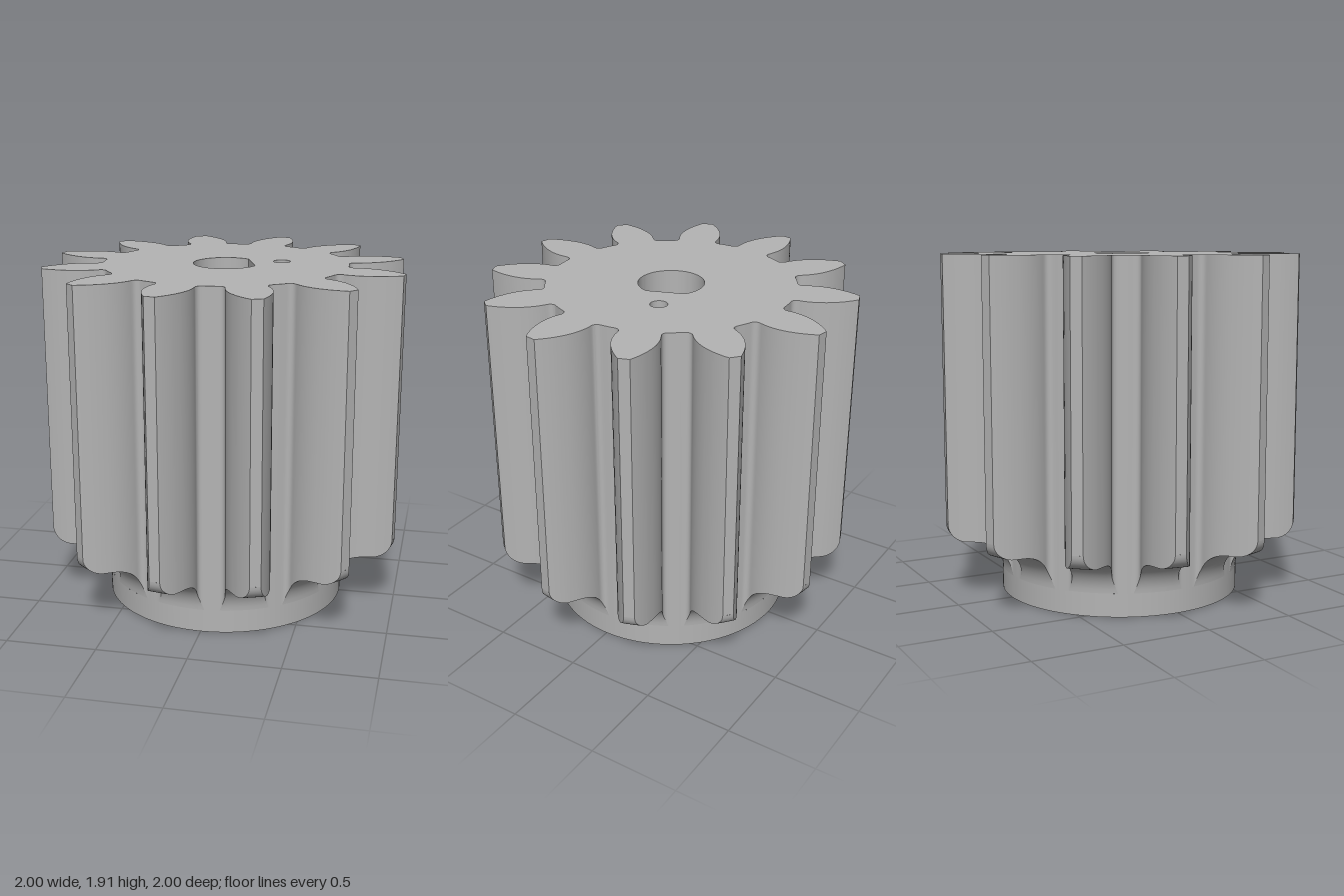
import * as THREE from 'three';
import { toCreasedNormals } from 'three/addons/utils/BufferGeometryUtils.js';

const TEETH = 12, PITCH = (Math.PI * 2) / TEETH;
const HEIGHT = 1.915, ROOT = 0.68, TIP = 1.01, NECK = 0.13;
const AXIS = THREE.MathUtils.degToRad(20.3); // direction of a tooth and of the shaft flat

// polar point; plan angles run counter-clockwise seen from above
const polar = (r, a, y) => new THREE.Vector3(r * Math.cos(a), y, -r * Math.sin(a));

// half angle of a tooth at radius r: bulged flank with a fillet at the root
function halfAngle(r) {
  const fillet = 0.035, d = Math.max(0, fillet - (r - ROOT));
  let w = 0.117 - 1.645 * (r - 0.78) ** 2;
  w += fillet - Math.sqrt(fillet * fillet - d * d);
  return Math.asin(w / r);
}

// lower edge of the teeth: hollow curve, short flat, rounded corner
function lowerProfile() {
  const rows = [];
  for (let i = 0; i <= 14; i++) {
    const t = (i / 14) * Math.PI / 2;
    rows.push({ r: 0.88 - 0.2 * Math.cos(t), y: NECK + 0.2 * Math.sin(t) });
  }
  for (let i = 0; i <= 10; i++) {
    const t = (i / 10) * Math.PI / 2;
    rows.push({ r: 0.92 + 0.09 * Math.sin(t), y: 0.42 - 0.09 * Math.cos(t) });
  }
  rows[0].r = ROOT;
  rows[rows.length - 1].r = TIP;
  return rows;
}

// surface through rows of points; right along a row, up from row to row
function gridGeometry(rows) {
  const pos = [];
  for (let j = 0; j < rows.length - 1; j++) {
    for (let k = 0; k < rows[j].length - 1; k++) {
      const a = rows[j][k], b = rows[j][k + 1], c = rows[j + 1][k + 1], d = rows[j + 1][k];
      for (const p of [a, b, c, a, c, d]) pos.push(p.x, p.y, p.z);
    }
  }
  const g = new THREE.BufferGeometry();
  g.setAttribute('position', new THREE.Float32BufferAttribute(pos, 3));
  return toCreasedNormals(g, 0.5);
}

// flat plate at height y, facing up or down
function faceGeometry(shape, y, down = false) {
  const g = new THREE.ShapeGeometry(shape, 32);
  if (down) {
    const ids = Array.from(g.index.array);
    for (let i = 0; i < ids.length; i += 3) [ids[i], ids[i + 1]] = [ids[i + 1], ids[i]];
    g.setIndex(ids);
  }
  g.rotateX(-Math.PI / 2).translate(0, y, 0);
  g.computeVertexNormals();
  return g;
}

// inward-facing wall of a hole between two heights
function holeWall(shape, y0, y1) {
  const pts = shape.getPoints(32);
  if (!pts[0].equals(pts[pts.length - 1])) pts.push(pts[0].clone());
  if (THREE.ShapeUtils.area(pts) > 0) pts.reverse();
  return gridGeometry([y0, y1].map((y) => pts.map((p) => new THREE.Vector3(p.x, y, -p.y))));
}

function circle(r, x = 0, y = 0) {
  const s = new THREE.Shape();
  s.absarc(x, y, r, 0, Math.PI * 2, false);
  return s;
}

export function createModel() {
  const group = new THREE.Group();
  const grey = new THREE.MeshStandardMaterial({ color: 0xb4b4b4 });
  grey.name = 'grey';
  const add = (name, geometry) => {
    const mesh = new THREE.Mesh(geometry, grey);
    mesh.name = name;
    group.add(mesh);
  };

  // gear outline, with the height where each wall begins
  const profile = lowerProfile();
  const outline = [];
  for (let i = 0; i < TEETH; i++) {
    const c = AXIS + i * PITCH;
    for (const { r, y } of profile) outline.push({ r, y, a: c - halfAngle(r) });
    for (const { r, y } of [...profile].reverse()) outline.push({ r, y, a: c + halfAngle(r) });
    const start = c + halfAngle(ROOT), end = c + PITCH - halfAngle(ROOT);
    for (let k = 1; k < 4; k++) {
      outline.push({ r: ROOT, y: NECK, a: start + (end - start) * k / 4 });
    }
  }
  const loop = [...outline, outline[0]];
  add('toothWalls', gridGeometry([
    loop.map((p) => polar(p.r, p.a, p.y)),
    loop.map((p) => polar(p.r, p.a, HEIGHT)),
  ]));

  // curved undersides of the teeth
  for (let i = 0; i < TEETH; i++) {
    const rows = profile.map(({ r, y }) => {
      const row = [];
      for (let k = -4; k <= 4; k++) row.push(polar(r, AXIS + i * PITCH + halfAngle(r) * k / 4, y));
      return row;
    });
    add('toothUnderside', gridGeometry(rows));
  }

  // round hub below the teeth
  const hub = new THREE.CylinderGeometry(ROOT, ROOT, NECK, 120, 1, true);
  add('hub', hub.translate(0, NECK / 2, 0));

  // holes: shaft bore with a flat, small round pit above, nut slot below
  const bore = circle(0.18);
  const dBore = new THREE.Shape();
  dBore.absarc(0, 0, 0.18, AXIS + 0.625, AXIS - 0.625 + Math.PI * 2, false);
  dBore.closePath();
  const pit = circle(0.047, 0.295, 0.115);
  const ux = Math.cos(AXIS), uy = Math.sin(AXIS);
  const slot = new THREE.Shape([[-1, -1], [1, -1], [1, 1], [-1, 1]].map(([n, t]) => {
    const along = 0.335 + n * 0.047, across = t * 0.15;
    return new THREE.Vector2(ux * along - uy * across, uy * along + ux * across);
  }));
  const flatStart = 0.5, pitFloor = 1.4, slotTop = 1.0;

  const top = new THREE.Shape(outline.map((p) => new THREE.Vector2(p.r * Math.cos(p.a), p.r * Math.sin(p.a))));
  top.holes.push(dBore, pit);
  add('topFace', faceGeometry(top, HEIGHT));

  const bottom = circle(ROOT);
  bottom.holes.push(bore, slot);
  add('bottomFace', faceGeometry(bottom, 0, true));

  add('shaftBore', holeWall(bore, 0, flatStart));
  add('flattedBore', holeWall(dBore, flatStart, HEIGHT));
  const ledge = new THREE.Shape();
  ledge.absarc(0, 0, 0.18, AXIS - 0.625, AXIS + 0.625, false);
  add('flatLedge', faceGeometry(ledge, flatStart, true));

  add('pitWall', holeWall(pit, pitFloor, HEIGHT));
  add('pitFloor', faceGeometry(pit, pitFloor));
  add('slotWall', holeWall(slot, 0, slotTop));
  add('slotCeiling', faceGeometry(slot, slotTop, true));

  return group;
}
